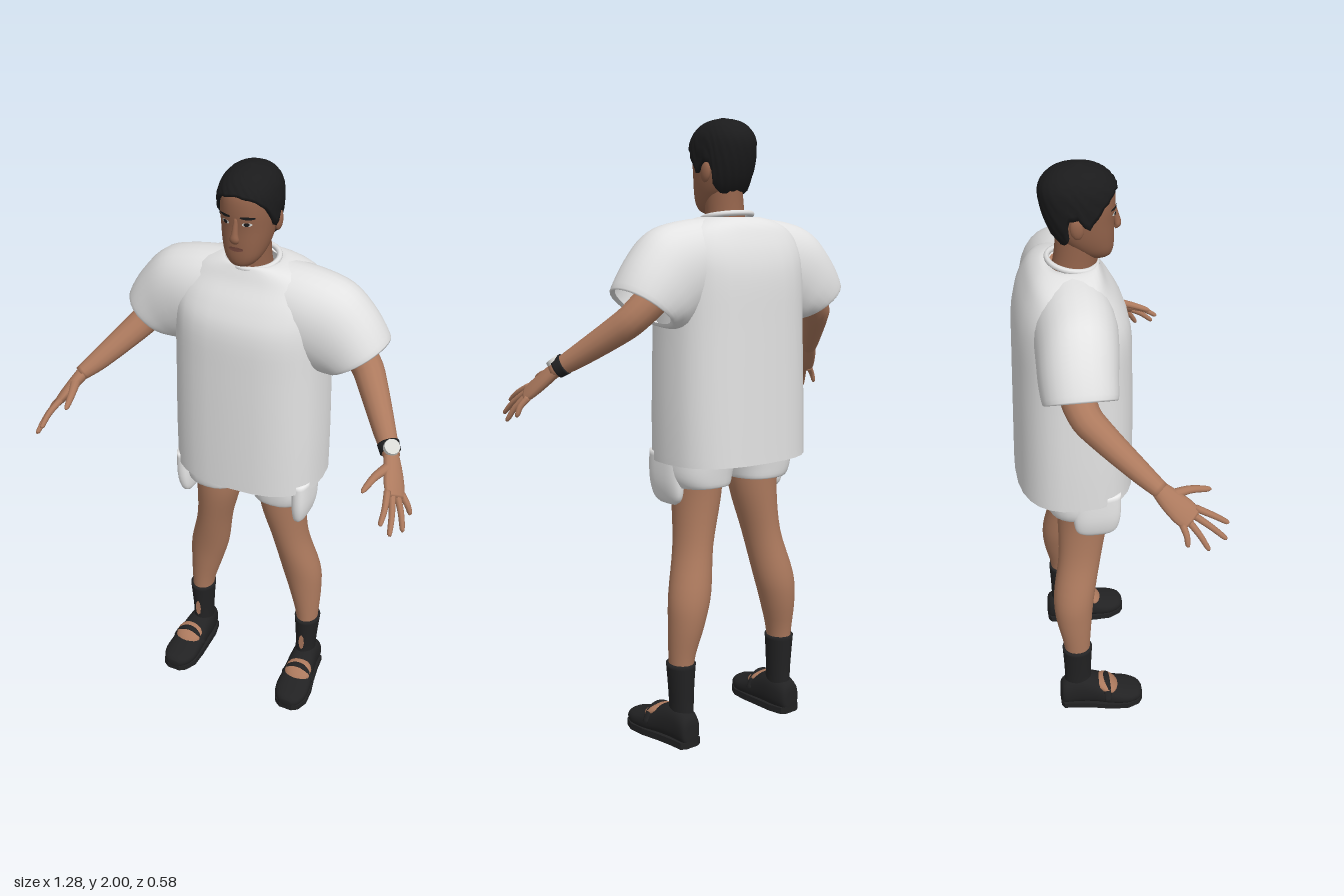
import * as THREE from 'three';

const V = (x, y, z) => new THREE.Vector3(x, y, z);
const mat = (name, color, side = THREE.FrontSide) => {
  const m = new THREE.MeshStandardMaterial({ color, side });
  m.name = name;
  return m;
};

// Catmull-Rom subdivision of rows of numbers
function smooth(rows, k = 4) {
  const out = [], last = rows.length - 1;
  for (let i = 0; i < last; i++) {
    const [a, b, c, d] = [rows[Math.max(i - 1, 0)], rows[i], rows[i + 1], rows[Math.min(i + 2, last)]];
    for (let s = 0; s < k; s++) {
      const t = s / k;
      out.push(b.map((p, j) => p + 0.5 * t * (c[j] - a[j] + t * (2 * a[j] - 5 * p + 4 * c[j] - d[j]
        + t * (3 * (p - c[j]) + d[j] - a[j])))));
    }
  }
  out.push(rows[last]);
  return out;
}

// Superellipse ring around a centre, spanned by u and v
const pow = (w, n) => Math.sign(w) * Math.abs(w) ** (2 / n);
function ring(c, u, v, n = 2, count = 28) {
  return Array.from({ length: count }, (_, i) => {
    const a = i / count * Math.PI * 2;
    return c.clone().addScaledVector(u, pow(Math.cos(a), n)).addScaledVector(v, pow(Math.sin(a), n));
  });
}

// Skin between rings, optionally capped at either end
function loft(rings, capStart = true, capEnd = true) {
  const n = rings[0].length, pts = rings.flat(), idx = [];
  for (let i = 0; i < rings.length - 1; i++) for (let j = 0; j < n; j++) {
    const a = i * n + j, b = i * n + (j + 1) % n;
    idx.push(a, b, a + n, b, b + n, a + n);
  }
  const cap = (r, flip) => {
    const base = r * n, mid = pts.length;
    pts.push(rings[r].reduce((s, p) => s.add(p), V(0, 0, 0)).divideScalar(n));
    for (let j = 0; j < n; j++) {
      const a = base + j, b = base + (j + 1) % n;
      idx.push(mid, flip ? b : a, flip ? a : b);
    }
  };
  if (capStart) cap(0, true);
  if (capEnd) cap(rings.length - 1, false);
  const g = new THREE.BufferGeometry().setFromPoints(pts);
  g.setIndex(idx);
  g.computeVertexNormals();
  return g;
}

// Upright form from rows [y, x0, x1, zBack, zFront]
const ringY = (r, n) => ring(V((r[1] + r[2]) / 2, r[0], (r[3] + r[4]) / 2),
  V((r[2] - r[1]) / 2, 0, 0), V(0, 0, (r[3] - r[4]) / 2), n);
const tower = (rows, n = 2, a = true, b = true) => loft(smooth(rows).map(r => ringY(r, n)), a, b);

// Round limb from rows [x, y, z, radiusU, radiusV]; side sets the direction of u
function limb(rows, side = V(0, 0, 1), count = 14) {
  const s = smooth(rows), p = s.map(r => V(r[0], r[1], r[2]));
  return loft(s.map((r, i) => {
    const d = p[Math.min(i + 1, p.length - 1)].clone().sub(p[Math.max(i - 1, 0)]).normalize();
    const u = side.clone().addScaledVector(d, -side.dot(d)).normalize();
    return ring(p[i], u.clone().multiplyScalar(r[3]), d.clone().cross(u).multiplyScalar(r[4]), 2, count);
  }));
}

function mirrored(g) {
  const m = g.clone().scale(-1, 1, 1), ix = m.index.array;
  for (let i = 0; i < ix.length; i += 3) [ix[i], ix[i + 1]] = [ix[i + 1], ix[i]];
  return m;
}

export function createModel() {
  const model = new THREE.Group();
  model.name = 'standingPerson';
  const skin = mat('skin', 0xad7a5e), face = mat('faceSkin', 0x93634b), hairMat = mat('hair', 0x1b1b1c);
  const shirt = mat('shirtCloth', 0xe2e2e2, THREE.DoubleSide), shorts = mat('shortsCloth', 0xeeeeee, THREE.DoubleSide);
  const black = mat('blackLeather', 0x222223), lip = mat('lips', 0x74473c), white = mat('offWhite', 0xd8d8d4);
  const add = (name, g, m) => {
    const mesh = new THREE.Mesh(g, m);
    mesh.name = name;
    model.add(mesh);
  };
  const pair = (name, g, m) => { add(name + 'Left', g, m); add(name + 'Right', mirrored(g), m); };

  // Shirt: boxy body, wide sleeves, collar
  const body = [[0.93, 0.255, -0.29, 0.095], [1.1, 0.255, -0.286, 0.094], [1.35, 0.25, -0.28, 0.09],
    [1.5, 0.25, -0.275, 0.083], [1.58, 0.245, -0.26, 0.053], [1.64, 0.215, -0.235, 0.015],
    [1.675, 0.165, -0.212, -0.002], [1.695, 0.095, -0.18, -0.012], [1.69, 0.07, -0.155, -0.02]];
  add('shirtBody', tower(body.map(([y, x, b, f]) => [y, -x, x, b, f]), 2.6, false, false), shirt);
  const sleeve = [[0.08, 1.694, 0.10, 1.42, -0.10, 0.12], [0.20, 1.684, 0.16, 1.39, -0.10, 0.125],
    [0.31, 1.652, 0.20, 1.36, -0.105, 0.122], [0.39, 1.573, 0.23, 1.355, -0.11, 0.117],
    [0.44, 1.49, 0.265, 1.36, -0.11, 0.11], [0.425, 1.488, 0.275, 1.373, -0.11, 0.095]];
  pair('sleeve', loft(smooth(sleeve).map(([tx, ty, bx, by, z, h]) =>
    ring(V((tx + bx) / 2, (ty + by) / 2, z), V((tx - bx) / 2, (ty - by) / 2, 0), V(0, 0, h), 2.1)), false, false), shirt);
  add('collar', new THREE.TorusGeometry(0.08, 0.009, 8, 32).rotateX(Math.PI / 2).scale(1, 1, 0.95)
    .rotateX(0.15).translate(0, 1.697, -0.088), shirt);

  // Shorts with drooping side pockets
  pair('shortsLeg', tower([[0.868, 0.04, 0.2, -0.17, 0.01], [0.85, 0.025, 0.215, -0.19, 0.025],
    [0.89, 0.015, 0.235, -0.2, 0.035], [0.97, 0, 0.238, -0.21, 0.04], [1.06, 0, 0.235, -0.21, 0.04]], 2.4, false, true), shorts);
  pair('sidePocket', tower([[0.79, 0.2, 0.217, -0.085, -0.005], [0.812, 0.19, 0.232, -0.112, 0.02],
    [0.87, 0.185, 0.243, -0.122, 0.033], [0.96, 0.185, 0.243, -0.122, 0.033]], 2.6), shorts);

  // Legs, socks and shoes
  pair('leg', tower([[0.1, 0.185, 0.243, -0.153, -0.077], [0.27, 0.175, 0.253, -0.161, -0.072],
    [0.4, 0.14, 0.257, -0.186, -0.062], [0.5, 0.112, 0.25, -0.19, -0.05], [0.65, 0.085, 0.21, -0.167, -0.022],
    [0.8, 0.045, 0.2, -0.165, 0.005], [0.92, 0.03, 0.21, -0.17, 0.01]]), skin);
  pair('sock', tower([[0.06, 0.178, 0.25, -0.165, -0.06], [0.13, 0.178, 0.25, -0.163, -0.068],
    [0.2, 0.175, 0.255, -0.165, -0.067], [0.272, 0.169, 0.262, -0.169, -0.064]]), black);
  pair('sockGap', new THREE.CircleGeometry(1, 8).scale(0.011, 0.036, 1).translate(0.215, 0.17, -0.0655), skin);
  const shoe = [[-0.18, 0.2, 0.24, 0.012, 0.075], [-0.17, 0.183, 0.257, 0.004, 0.105], [-0.12, 0.172, 0.262, 0.002, 0.128],
    [-0.06, 0.17, 0.272, 0.004, 0.118], [0, 0.168, 0.286, 0.004, 0.085], [0.06, 0.17, 0.29, 0.006, 0.066],
    [0.1, 0.19, 0.275, 0.01, 0.056], [0.115, 0.212, 0.253, 0.016, 0.042]];
  pair('shoeUpper', loft(smooth(shoe).map(([z, a, b, c, d]) =>
    ring(V((a + b) / 2, (c + d) / 2, z), V((b - a) / 2, 0, 0), V(0, (d - c) / 2, 0), 2.4))), black);
  const solePts = shoe.map(([z, , b]) => new THREE.Vector2(b + 0.003, -z))
    .concat(shoe.map(([z, a]) => new THREE.Vector2(a - 0.003, -z)).reverse());
  pair('sole', (() => {
    const g = new THREE.ExtrudeGeometry(new THREE.Shape(solePts), { depth: 0.022, bevelEnabled: false }).rotateX(-Math.PI / 2);
    g.setIndex([...Array(g.attributes.position.count).keys()]);
    return g;
  })(), black);
  pair('instep', new THREE.SphereGeometry(1, 18, 12).scale(0.05, 0.022, 0.05).rotateX(0.5).translate(0.228, 0.079, -0.012), skin);
  pair('shoeStrap', limb([[0.168, 0.05, -0.015, 0.012, 0.005], [0.19, 0.09, -0.015, 0.012, 0.005],
    [0.228, 0.105, -0.015, 0.012, 0.005], [0.266, 0.09, -0.015, 0.012, 0.005], [0.288, 0.05, -0.015, 0.012, 0.005]]), black);

  // Arms and hands
  pair('arm', limb([[0.2, 1.57, -0.11, 0.06, 0.06], [0.3, 1.475, -0.125, 0.055, 0.055], [0.375, 1.4, -0.105, 0.05, 0.05],
    [0.42, 1.352, -0.06, 0.045, 0.046], [0.5, 1.27, 0.04, 0.034, 0.035], [0.545, 1.23, 0.095, 0.026, 0.024]]), skin);
  const across = V(-0.515, 0.49, 0.7);
  pair('palm', limb([[0.535, 1.24, 0.082, 0.024, 0.022], [0.558, 1.205, 0.118, 0.035, 0.02],
    [0.578, 1.172, 0.155, 0.041, 0.017], [0.592, 1.15, 0.18, 0.037, 0.012]], across), skin);
  const tips = [[0.585, 1.12, 0.288], [0.612, 1.085, 0.278], [0.634, 1.07, 0.225], [0.635, 1.09, 0.165]];
  tips.forEach(([x, y, z], i) => {
    const k = V(0.586, 1.16, 0.17).addScaledVector(across, 0.031 - 0.0205 * i);
    const mid = (a, b) => a + (b - a) * 0.55;
    pair('finger' + (i + 1), limb([[k.x, k.y, k.z, 0.011, 0.011],
      [mid(k.x, x) + 0.004, mid(k.y, y) + 0.005, mid(k.z, z), 0.0095, 0.0095],
      [x, y + 0.004, z - 0.005, 0.0075, 0.0075], [x, y, z, 0.003, 0.003]], across, 8), skin);
  });
  pair('thumb', limb([[0.553, 1.215, 0.115, 0.018, 0.016], [0.527, 1.21, 0.18, 0.013, 0.012],
    [0.513, 1.195, 0.235, 0.009, 0.009], [0.51, 1.19, 0.25, 0.003, 0.003]], V(1, 0, 0), 10), skin);

  // Wristwatch on the left arm
  add('watchBand', limb([[0.52, 1.253, 0.064, 0.034, 0.034], [0.536, 1.238, 0.084, 0.032, 0.032]], V(0, 0, 1), 20), black);
  const up = V(0.375, 0.8, 0.46).normalize();
  add('watchFace', new THREE.CylinderGeometry(0.024, 0.026, 0.014, 20)
    .applyQuaternion(new THREE.Quaternion().setFromUnitVectors(V(0, 1, 0), up)).translate(0.541, 1.262, 0.092), white);

  // Head and neck
  const headRows = smooth([[1.705, 0.015, -0.03, 0.01], [1.715, 0.038, -0.06, 0.028], [1.74, 0.058, -0.09, 0.036],
    [1.78, 0.072, -0.13, 0.038], [1.83, 0.08, -0.155, 0.038], [1.88, 0.083, -0.17, 0.042], [1.93, 0.08, -0.174, 0.037],
    [1.965, 0.063, -0.152, 0.012], [1.983, 0.038, -0.12, -0.02], [1.99, 0.006, -0.075, -0.06]]
    .map(([y, x, b, f]) => [y, -x, x, b, f]));
  const headN = 2.2;
  add('head', loft(headRows.map(r => ringY(r, headN))), face);
  add('neck', tower([[1.62, -0.068, 0.068, -0.17, -0.02], [1.7, -0.06, 0.06, -0.145, -0.01], [1.79, -0.058, 0.058, -0.135, 0]]), face);
  add('nose', limb([[0, 1.868, 0.036, 0.006, 0.006], [0, 1.825, 0.045, 0.01, 0.01], [0, 1.805, 0.048, 0.011, 0.015],
    [0, 1.794, 0.04, 0.006, 0.01]]), face);
  pair('ear', new THREE.SphereGeometry(1, 14, 10).scale(0.012, 0.032, 0.02).rotateX(-0.15).translate(0.083, 1.833, -0.082), face);

  // Head surface lookup, used by the hair and the painted face plates
  const rowAt = y => {
    const i = Math.max(1, headRows.findIndex(r => r[0] >= y)), a = headRows[i - 1], b = headRows[i];
    const t = (y - a[0]) / (b[0] - a[0]);
    return a.map((p, j) => p + (b[j] - p) * t);
  };
  const plate = (x, y, w, h, tilt, lift) => {
    const g = new THREE.CircleGeometry(1, 16).scale(w, h, 1).rotateZ(tilt).translate(x, y, 0), p = g.attributes.position;
    for (let i = 0; i < p.count; i++) {
      const r = rowAt(p.getY(i)), q = Math.min(1, Math.abs(p.getX(i)) / r[2]);
      p.setZ(i, (r[3] + r[4]) / 2 + (r[4] - r[3]) / 2 * (1 - q ** headN) ** (1 / headN) + lift);
    }
    g.computeVertexNormals();
    return g;
  };
  pair('eyebrow', plate(0.036, 1.873, 0.021, 0.0045, -0.08, 0.003), hairMat);
  pair('eyeWhite', plate(0.034, 1.853, 0.014, 0.006, 0, 0.002), white);
  pair('iris', plate(0.034, 1.854, 0.008, 0.006, 0, 0.004), hairMat);
  add('mouth', plate(0, 1.772, 0.024, 0.007, 0, 0.003), lip);

  // Short hair with a shaped hairline: [angle from the front, lower edge]
  const line = [[0, 1.937], [0.6, 1.925], [1.0, 1.895], [1.3, 1.855], [1.5, 1.825], [1.68, 1.865], [1.95, 1.86],
    [2.15, 1.79], [2.5, 1.768], [3.15, 1.765]];
  const low = phi => {
    const i = Math.max(1, line.findIndex(l => l[0] >= phi)), [a, b] = [line[i - 1], line[i]];
    return a[1] + (b[1] - a[1]) * (phi - a[0]) / (b[0] - a[0]);
  };
  const hairRings = Array.from({ length: 18 }, (_, k) => Array.from({ length: 56 }, (_, j) => {
    const a = j / 56 * Math.PI * 2, t = Math.max(0, k - 1) / 16, y0 = low(Math.acos(-Math.sin(a)));
    const y = y0 + (1.99 - y0) * (1 - (1 - t) ** 2), r = rowAt(y);
    const off = k === 0 ? -0.002 : 0.011 + 0.002 * Math.sin(j * 2.4 + k * 1.7) * (1 - t);
    return V(pow(Math.cos(a), headN) * r[2] + Math.cos(a) * off * (1 - t * t), y + 0.01 * t,
      (r[3] + r[4]) / 2 - pow(Math.sin(a), headN) * (r[4] - r[3]) / 2 - Math.sin(a) * off * (1 - t * t));
  }));
  add('hair', loft(hairRings, false, true), hairMat);

  return model;
}
